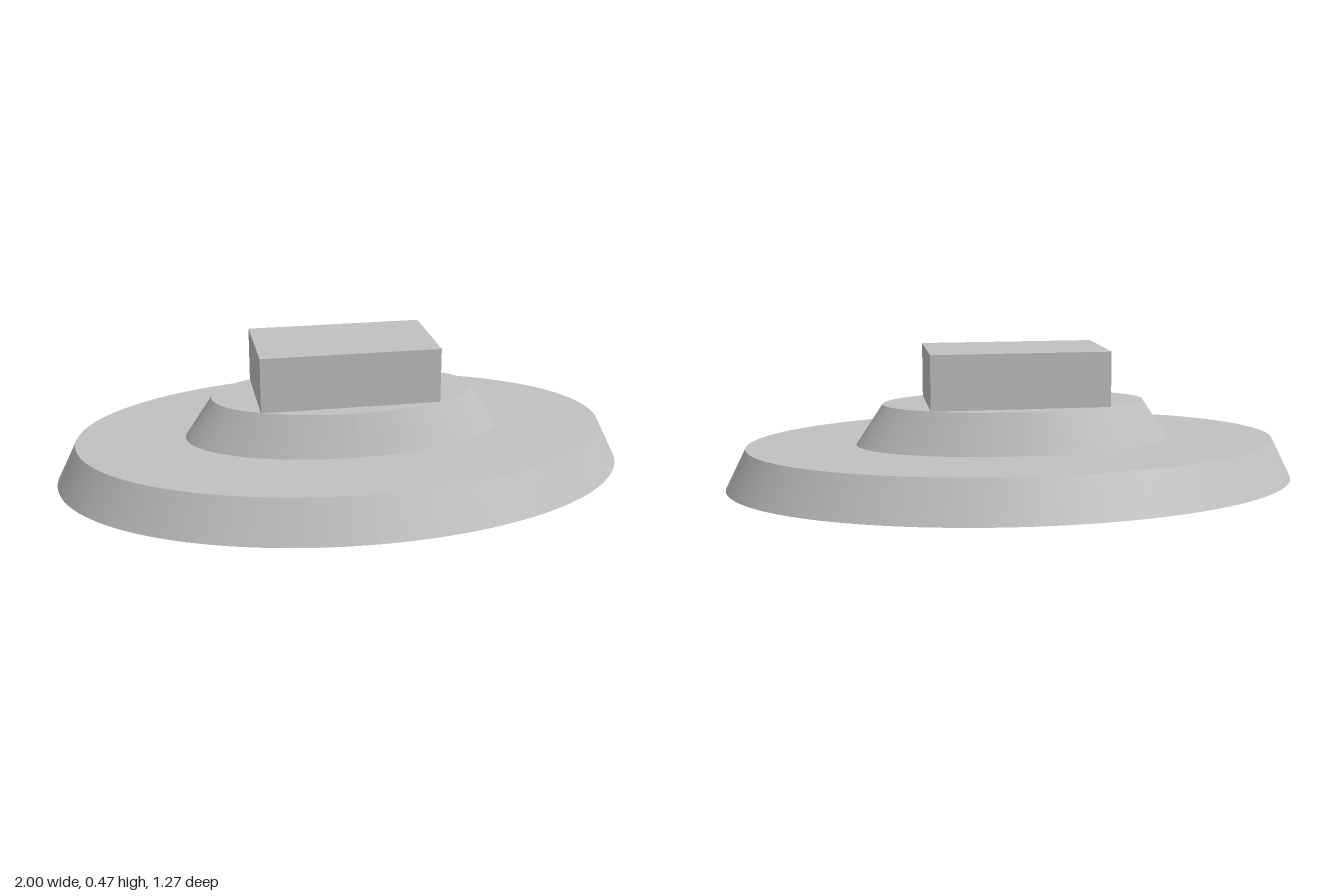
import * as THREE from 'three';

const grey = new THREE.MeshStandardMaterial({ color: 0xc0c0c0 });
grey.name = 'light grey';

// Elliptical tier tapering from a bottom [x, z] radius to a top [x, z] radius
function ellipticalTier(name, y0, y1, bottom, top) {
  const geometry = new THREE.CylinderGeometry(1, 1, y1 - y0, 128, 1);
  geometry.translate(0, (y0 + y1) / 2, 0);
  const p = geometry.attributes.position;
  const middle = (y0 + y1) / 2;
  for (let i = 0; i < p.count; i++) {
    const [rx, rz] = p.getY(i) > middle ? top : bottom;
    p.setX(i, p.getX(i) * rx);
    p.setZ(i, p.getZ(i) * rz);
  }
  geometry.computeVertexNormals();
  const mesh = new THREE.Mesh(geometry, grey);
  mesh.name = name;
  return mesh;
}

export function createModel() {
  const model = new THREE.Group();
  model.name = 'steppedPedestal';

  // Wide base and the narrower tier on it
  model.add(ellipticalTier('base', 0, 0.14, [1, 0.636], [0.93, 0.569]));
  model.add(ellipticalTier('upperTier', 0.14, 0.28, [0.553, 0.277], [0.46, 0.231]));

  // Rectangular block on top
  const block = new THREE.Mesh(new THREE.BoxGeometry(0.616, 0.19, 0.347), grey);
  block.name = 'topBlock';
  block.position.y = 0.375;
  model.add(block);

  return model;
}
